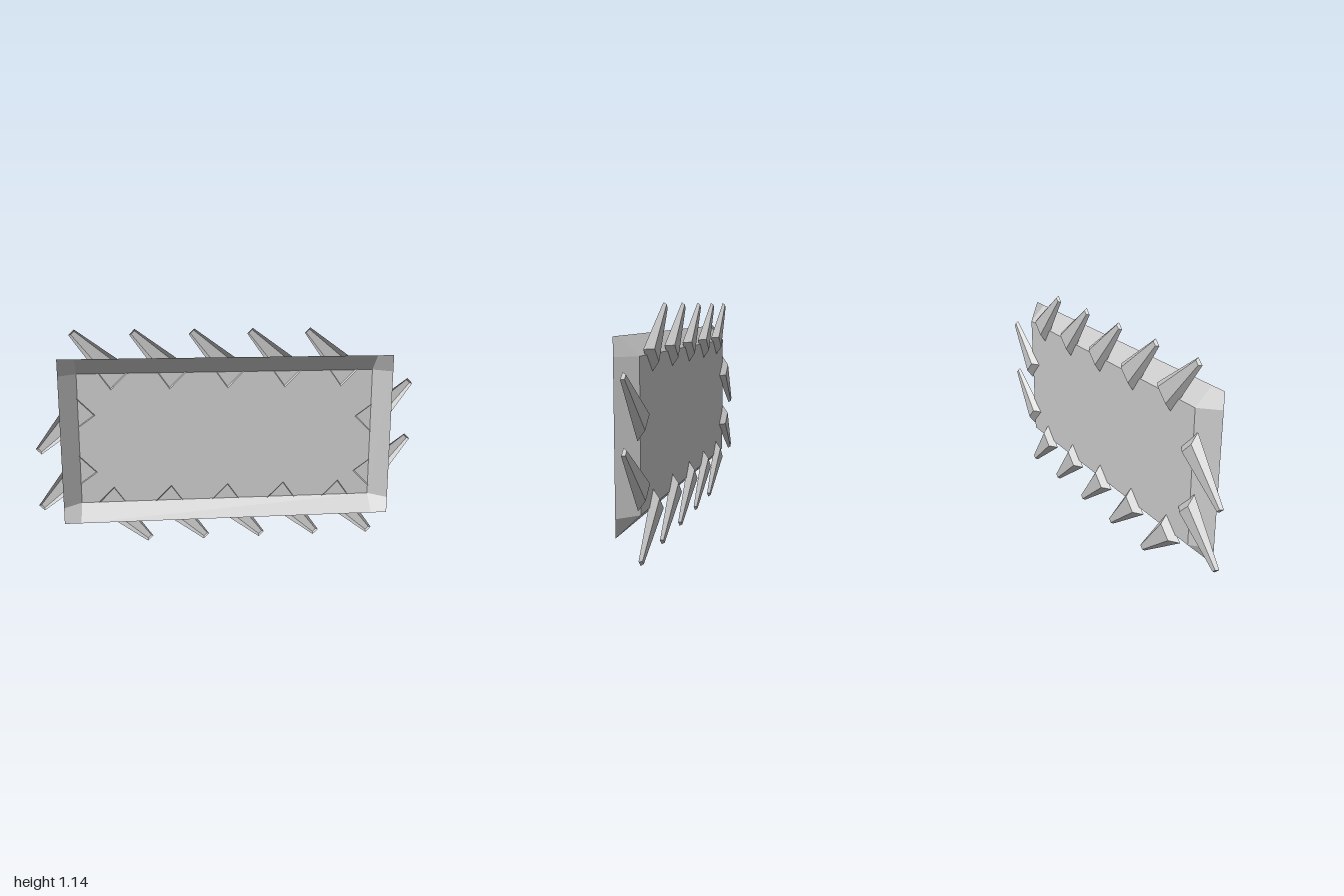
import * as THREE from 'three';

const material = new THREE.MeshStandardMaterial({ color: 0xcccccc, side: THREE.DoubleSide });

// Build flat-shaded quads; each face is split along its first-to-third corner.
function quadGeometry(quads) {
  const positions = [], normals = [];
  for (const [a, b, c, d] of quads) {
    const n = c.clone().sub(a).cross(d.clone().sub(b)).normalize();
    for (const p of [a, b, c, a, c, d]) {
      positions.push(p.x, p.y, p.z);
      normals.push(n.x, n.y, n.z);
    }
  }
  const g = new THREE.BufferGeometry();
  g.setAttribute('position', new THREE.Float32BufferAttribute(positions, 3));
  g.setAttribute('normal', new THREE.Float32BufferAttribute(normals, 3));
  return g;
}

// Shallow open tray: a 3 x 3 grid of faces, inner points pushed back.
function trayGeometry() {
  const xs = [-0.86, -0.775, 0.775, 0.86];
  const ys = [0.145, 0.23, 0.915, 1.0];
  const inner = (i) => i === 1 || i === 2;
  const point = (i, j) => new THREE.Vector3(xs[i], ys[j], inner(i) && inner(j) ? -0.026 : 0.059);
  const quads = [];
  for (let i = 0; i < 3; i++) {
    for (let j = 0; j < 3; j++) {
      const q = [point(i, j), point(i, j + 1), point(i + 1, j + 1), point(i + 1, j)];
      // Mitre every corner from the inner to the outer point
      if (i + j === 2 && i !== j) q.push(q.shift());
      quads.push(q);
    }
  }
  return quadGeometry(quads);
}

// Tapered spike shell, open at the front, with its lower base corner at the origin.
function spikeGeometry() {
  const half = 0.077;
  // u runs along the spike, v across it; the spike leans 45 degrees
  const point = (u, v, z) =>
    new THREE.Vector3((v + half - u) * Math.SQRT1_2, (v + half + u) * Math.SQRT1_2, z);
  const rim = [point(0, -half, -0.021), point(0, half, -0.021),
    point(0.34, 0.02, -0.0235), point(0.34, -0.02, -0.0235)];
  const back = [point(0.035, -0.043, -0.056), point(0.035, 0.043, -0.056),
    point(0.334, 0.012, -0.038), point(0.334, -0.012, -0.038)];
  const quads = [[back[3], back[2], back[1], back[0]]];
  for (let i = 0; i < 4; i++) {
    const j = (i + 1) % 4;
    quads.push([rim[i], back[i], back[j], rim[j]]);
  }
  return quadGeometry(quads);
}

export function createModel() {
  const model = new THREE.Group();

  const tray = new THREE.Mesh(trayGeometry(), material);
  tray.name = 'tray';
  model.add(tray);

  const spike = spikeGeometry();
  const addSpike = (name, x, y, turn) => {
    const mesh = new THREE.Mesh(spike, material);
    mesh.name = name;
    mesh.position.set(x, y, 0);
    mesh.rotation.z = turn;
    model.add(mesh);
  };

  // Five spikes along the top and bottom edges
  for (let i = -2; i <= 2; i++) {
    addSpike('topSpike', i * 0.302, 0.831, 0);
    addSpike('bottomSpike', i * 0.302, 0.312, Math.PI);
  }
  // Two spikes on each side edge
  for (const i of [0, 1]) {
    addSpike('leftSpike', 0.688, 0.362 + i * 0.304, -Math.PI / 2);
    addSpike('rightSpike', -0.688, 0.396 + i * 0.304, Math.PI / 2);
  }
  return model;
}
